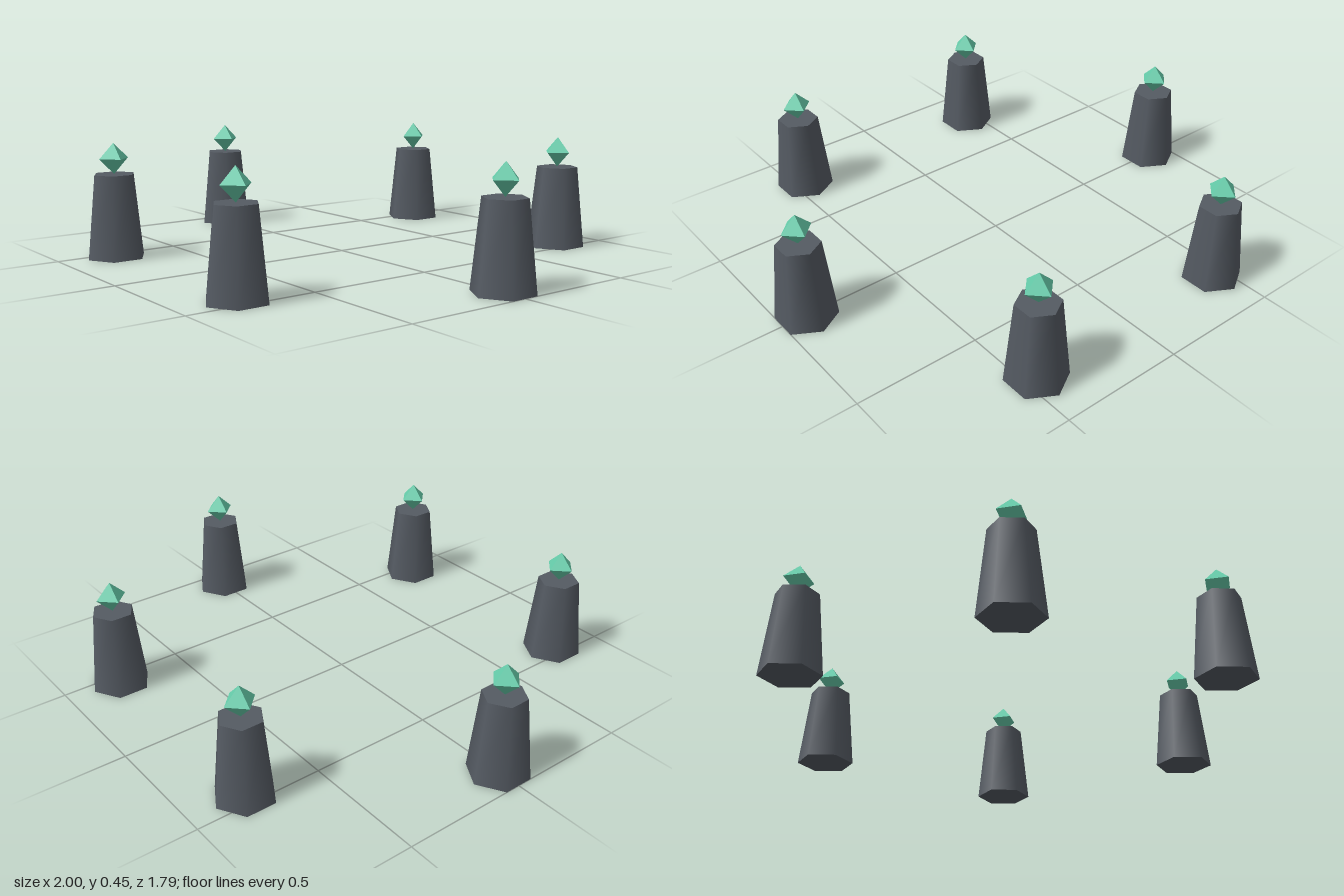
import * as THREE from 'three';

const COUNT = 6;
const RING_RADIUS = 0.898;
const PILLAR_HEIGHT = 0.33;
const GEM_RADIUS = 0.061;

export function createModel() {
  const stone = new THREE.MeshStandardMaterial({ color: 0x555b63 });
  stone.name = 'dark stone';
  const crystal = new THREE.MeshStandardMaterial({ color: 0x66ccaa });
  crystal.name = 'green crystal';

  // Tapered six-sided pillar with soft sides, and an eight-sided gem
  const pillarGeometry = new THREE.CylinderGeometry(0.083, 0.118, PILLAR_HEIGHT, 6);
  const gemGeometry = new THREE.OctahedronGeometry(GEM_RADIUS);

  const model = new THREE.Group();
  model.name = 'pillarRing';

  // Equal ring of pillars, all facing the same way
  for (let i = 0; i < COUNT; i++) {
    const angle = (i / COUNT) * Math.PI * 2;
    const post = new THREE.Group();
    post.name = `crystalPillar${i + 1}`;
    post.position.set(Math.cos(angle) * RING_RADIUS, 0, Math.sin(angle) * RING_RADIUS);

    const pillar = new THREE.Mesh(pillarGeometry, stone);
    pillar.name = 'pillar';
    pillar.position.y = PILLAR_HEIGHT / 2;

    // Gem balanced with its lower tip on the pillar top
    const gem = new THREE.Mesh(gemGeometry, crystal);
    gem.name = 'gem';
    gem.position.y = PILLAR_HEIGHT + GEM_RADIUS;

    post.add(pillar, gem);
    model.add(post);
  }
  return model;
}
